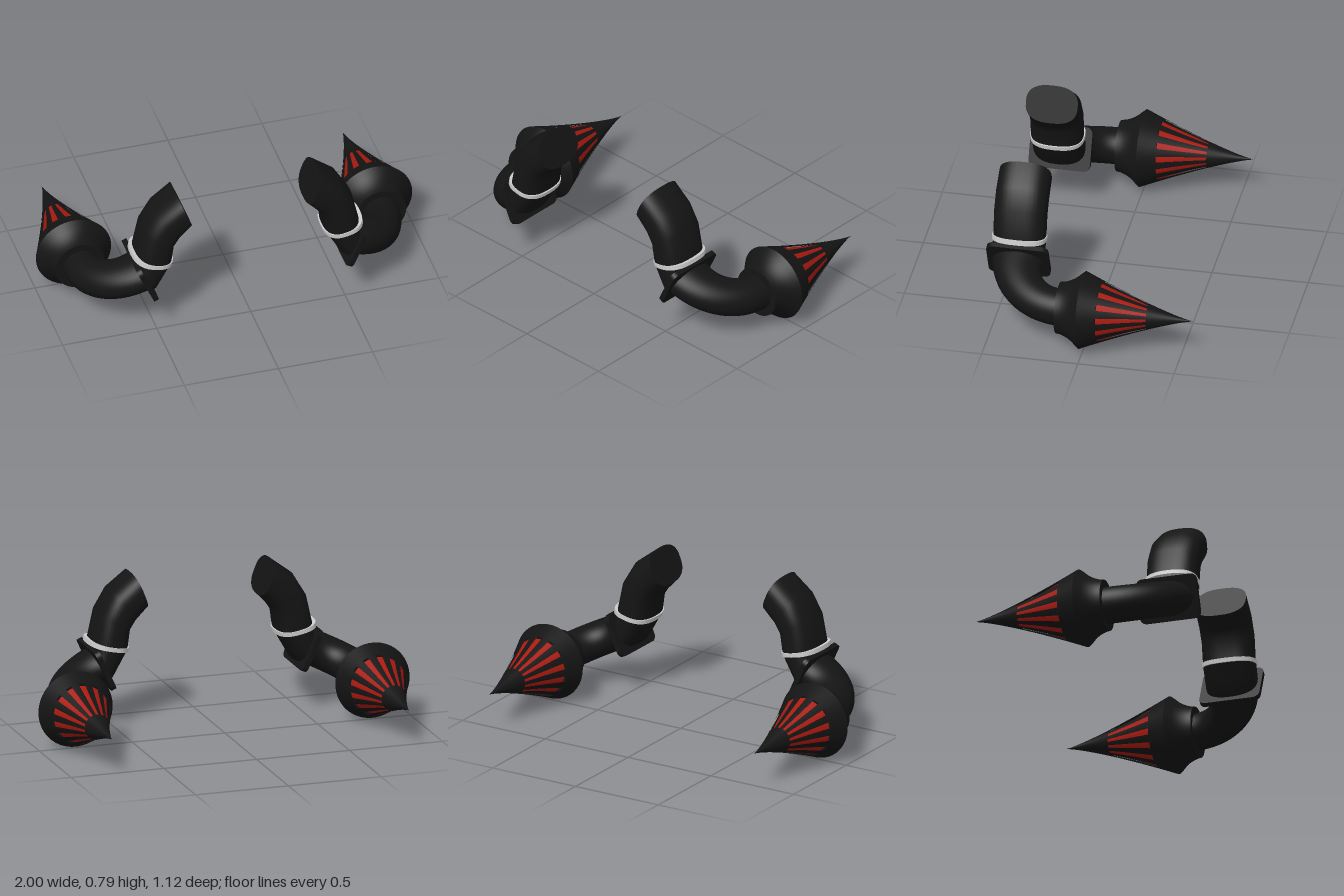
import * as THREE from 'three';

const V = (x, y, z) => new THREE.Vector3(x, y, z);
const paint = (color, side = THREE.FrontSide) => {
  const m = new THREE.MeshStandardMaterial({ side });
  m.color.set(color);
  return m;
};

// Skin a list of rings { c, u, v, n }: centre, two half axes, roundness exponent.
function loft(rings, { startCap = false, endCap = false, sides = 36 } = {}) {
  const pos = [], idx = [];
  const addRing = ({ c, u, v, n = 2 }) => {
    const first = pos.length / 3;
    for (let j = 0; j < sides; j++) {
      const a = (j / sides) * Math.PI * 2;
      const f = (t) => Math.sign(t) * Math.abs(t) ** (2 / n);
      pos.push(...c.clone().addScaledVector(u, f(Math.cos(a))).addScaledVector(v, f(Math.sin(a))));
    }
    return first;
  };
  const starts = rings.map(addRing);
  for (let i = 0; i + 1 < rings.length; i++) {
    for (let j = 0; j < sides; j++) {
      const k = (j + 1) % sides, p = starts[i], q = starts[i + 1];
      idx.push(p + j, p + k, q + j, p + k, q + k, q + j);
    }
  }
  const cap = (ring, flip) => {
    const s = addRing(ring), mid = pos.length / 3;
    pos.push(...ring.c);
    for (let j = 0; j < sides; j++) {
      const k = (j + 1) % sides;
      idx.push(mid, s + (flip ? k : j), s + (flip ? j : k));
    }
  };
  if (startCap) cap(rings[0], true);
  if (endCap) cap(rings[rings.length - 1], false);
  const g = new THREE.BufferGeometry();
  g.setAttribute('position', new THREE.Float32BufferAttribute(pos, 3));
  g.setIndex(idx);
  g.computeVertexNormals();
  return g;
}

// Ring given by its inner and outer outline points in the xy plane.
function sideRing(x0, y0, x1, y1, halfZ, n, z = 0.4) {
  return {
    c: V((x0 + x1) / 2, (y0 + y1) / 2, z),
    u: V((x1 - x0) / 2, (y1 - y0) / 2, 0),
    v: V(0, 0, -halfZ), n,
  };
}

function createIntake() {
  const intake = new THREE.Group();
  const black = paint(0x141414), shell = paint(0x141414, THREE.DoubleSide);
  const red = paint(0xaa1a10, THREE.DoubleSide), metal = paint(0xcccccc);
  const add = (name, geometry, material, parent = intake) => {
    const mesh = new THREE.Mesh(geometry, material);
    mesh.name = name;
    parent.add(mesh);
  };

  // Cone filter, turned about the z axis
  const filter = new THREE.Group();
  filter.name = 'coneFilter';
  filter.position.set(0.8, 0.205, 0);
  intake.add(filter);
  const turn = (name, points, material, start = 0, sweep = Math.PI * 2, segments = 56) => {
    const pts = points.map(([r, z]) => new THREE.Vector2(r, z));
    add(name, new THREE.LatheGeometry(pts, segments, start, sweep).rotateX(Math.PI / 2), material, filter);
  };
  const TIP = -0.56, RIM = 0.015, SLOT0 = -0.325, SLOT1 = -0.078, DEPTH = 0.012;
  const radius = (z) => 0.2 * ((z - TIP) / (RIM - TIP)) ** 1.22;
  const cone = (z0, z1, inset = 0, steps = 8) => Array.from({ length: steps + 1 }, (_, i) => {
    const z = z0 + ((z1 - z0) * i) / steps;
    return [Math.max(0, radius(z) - inset), z];
  });
  const ledge = (z) => [[radius(z) - DEPTH, z], [radius(z), z]];
  turn('coneTip', cone(TIP, SLOT0), shell);
  turn('coneCollar', cone(SLOT1, RIM), shell);
  turn('slotFrontLedge', ledge(SLOT0).reverse(), shell);
  turn('slotBackLedge', ledge(SLOT1), shell);
  turn('filterElement', cone(SLOT0, SLOT1, DEPTH), red);

  // Slats between the red slots
  const COUNT = 14, PITCH = (Math.PI * 2) / COUNT, SLOT = 0.2;
  for (let i = 0; i < COUNT; i++) {
    turn('slat', cone(SLOT0, SLOT1), shell, i * PITCH + SLOT / 2, PITCH - SLOT, 5);
  }
  turn('filterShoulder', [[0.2, RIM], [0.186, 0.032], [0.168, 0.052], [0.154, 0.072],
    [0.143, 0.095], [0.135, 0.118], [0.132, 0.14]], shell);
  turn('filterBackPlate', [[0.132, 0.14], [0.08, 0.14]], shell);

  // Elbow pipe, round at the filter and widening to the flange
  const d = V(-0.24, 0.11, 0).normalize();
  const up = V(-d.y, d.x, 0).negate();
  const start = V(0.797, 0.205, 0.125), end = V(0.557, 0.315, 0.395);
  const path = new THREE.CubicBezierCurve3(start, start.clone().add(V(0, 0, 0.15)),
    end.clone().addScaledVector(d, -0.15), end);
  const elbow = [];
  for (let i = 0; i <= 20; i++) {
    const t = i / 20;
    const v = path.getTangent(t).cross(up).setLength(0.095 + 0.04 * t * t);
    elbow.push({ c: path.getPoint(t), u: up.clone().multiplyScalar(0.095 - 0.004 * t), v });
  }
  add('elbowPipe', loft(elbow), black);

  // Rounded flange plate at the joint
  const w = 0.16, h = 0.115, r = 0.035, plate = new THREE.Shape();
  [[1, 1], [-1, 1], [-1, -1], [1, -1]].forEach(([sx, sy], i) => {
    plate.absarc(sx * (w - r), sy * (h - r), r, (i * Math.PI) / 2, ((i + 1) * Math.PI) / 2);
  });
  const flange = new THREE.ExtrudeGeometry(plate, { depth: 0.026, bevelEnabled: false, curveSegments: 6 });
  flange.translate(0, 0, -0.013);
  flange.applyMatrix4(new THREE.Matrix4().makeBasis(V(0, 0, 1), up, d).setPosition(end));
  add('flange', flange, black);

  // Joint, clamp and upper pipe with its slanted mouth
  add('jointPipe', loft([
    sideRing(0.515, 0.235, 0.598, 0.4, 0.135, 2.4),
    sideRing(0.49, 0.25, 0.592, 0.415, 0.135, 2.5),
    sideRing(0.448, 0.325, 0.592, 0.432, 0.135, 2.6),
    sideRing(0.408, 0.395, 0.592, 0.44, 0.135, 2.6),
  ]), black);
  add('clamp', loft([
    sideRing(0.402, 0.387, 0.612, 0.431, 0.14, 2.6),
    sideRing(0.398, 0.409, 0.608, 0.453, 0.14, 2.6),
  ], { startCap: true, endCap: true }), metal);
  add('upperPipe', loft([
    sideRing(0.406, 0.405, 0.59, 0.445, 0.135, 2.6),
    sideRing(0.394, 0.5, 0.556, 0.595, 0.136, 2.6),
    sideRing(0.364, 0.545, 0.49, 0.705, 0.136, 2.6),
    sideRing(0.305, 0.607, 0.378, 0.79, 0.135, 2.6),
  ], { endCap: true }), black);
  return intake;
}

export function createModel() {
  const model = new THREE.Group();
  model.name = 'twinIntakes';
  const left = createIntake();
  left.name = 'leftIntake';
  const right = left.clone();
  right.name = 'rightIntake';
  right.scale.x = -1;
  model.add(left, right);
  return model;
}
